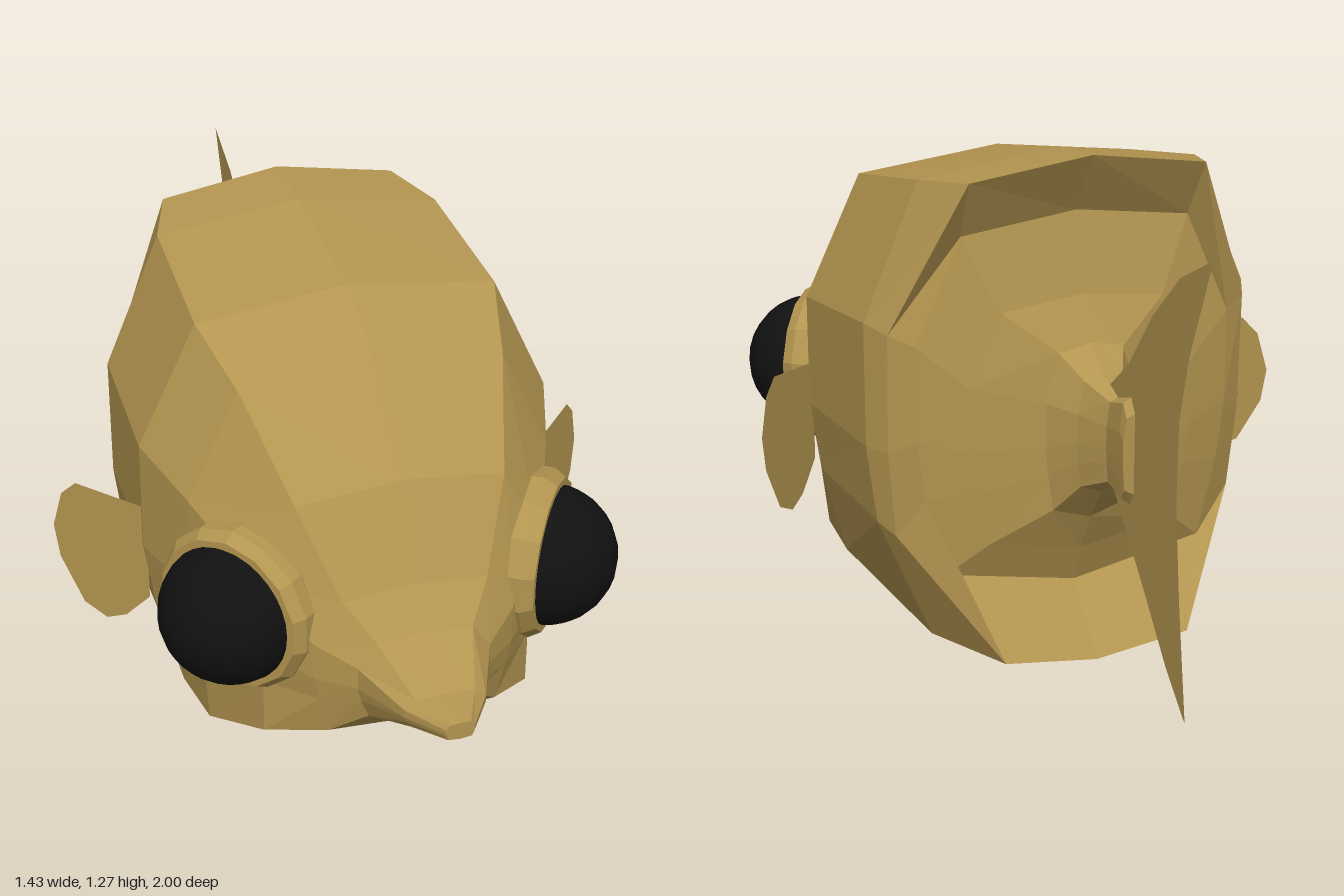
import * as THREE from 'three';

const skin = new THREE.MeshStandardMaterial({ color: 0xb39550, flatShading: true, side: THREE.DoubleSide });
const black = new THREE.MeshStandardMaterial({ color: 0x111111 });

// Half cross-section from ridge to belly: fraction of half width, fraction of height
const PROFILE = [[0, 1], [0.72, 0.96], [1, 0.69], [1, 0.44], [0.95, 0.28], [0.83, 0.07], [0, 0]];

function section(z, top, bottom, w, belly) {
  return PROFILE.map(([u, v], i) => {
    const [a, b] = belly && i === 5 ? belly : [u, v];
    return [a * w, bottom + b * (top - bottom), z];
  });
}

// Mirrors each half section into a closed ring, joins the rings and caps both ends
function loft(sections) {
  const rings = sections.map(h => [...h, ...h.slice(1, -1).reverse().map(([x, y, z]) => [-x, y, z])]);
  const n = rings[0].length, last = (rings.length - 1) * n;
  const pos = rings.flat(2), index = [];
  for (let i = 0; i < rings.length - 1; i++) {
    for (let j = 0; j < n; j++) {
      const k = (j + 1) % n, a = i * n + j, b = i * n + k;
      index.push(a, b, a + n, b, b + n, a + n);
    }
  }
  for (let j = 1; j < n - 1; j++) {
    index.push(0, j + 1, j);
    index.push(last, last + j, last + j + 1);
  }
  const geo = new THREE.BufferGeometry();
  geo.setAttribute('position', new THREE.Float32BufferAttribute(pos, 3));
  geo.setIndex(index);
  geo.computeVertexNormals();
  return geo;
}

// Flat fin outlined in (z, y); x follows from z by a rule
function finGeometry(outline, xAt) {
  const geo = new THREE.ShapeGeometry(new THREE.Shape(outline.map(p => new THREE.Vector2(...p))));
  const p = geo.attributes.position;
  for (let i = 0; i < p.count; i++) {
    const z = p.getX(i);
    p.setXYZ(i, xAt(z), p.getY(i), z);
  }
  geo.computeVertexNormals();
  return geo;
}

export function createModel() {
  const model = new THREE.Group();
  const add = (name, geo, mat, parent = model) => {
    const mesh = new THREE.Mesh(geo, mat);
    mesh.name = name;
    parent.add(mesh);
    return mesh;
  };

  // Body from snout to tail stalk, with overhanging lips around the hollow back
  add('body', loft([
    section(0.995, 0.475, 0.43, 0.035),
    section(0.9, 0.49, 0.41, 0.1),
    section(0.76, 0.57, 0.345, 0.165),
    section(0.69, 0.66, 0.275, 0.25, [0.85, 0.03]),
    section(0.58, 0.88, 0.19, 0.36, [0.95, 0.07]),
    section(0.37, 1.1, 0.09, 0.46, [0.92, 0.06]),
    section(0.18, 1.2, 0.06, 0.53),
    section(-0.21, 1.265, 0.015, 0.515, [0.68, 0.02]),
    [[0, 1.28, -0.4], [0.31, 1.235, -0.385], [0.48, 0.86, -0.28], [0.48, 0.56, -0.27],
      [0.46, 0.34, -0.26], [0.25, 0.04, -0.455], [0, 0.005, -0.45]],
    section(-0.31, 1.13, 0.17, 0.42),
    section(-0.35, 0.93, 0.27, 0.3),
    section(-0.4, 0.82, 0.37, 0.12),
    section(-0.47, 0.76, 0.46, 0.07),
    section(-0.55, 0.725, 0.5, 0.03),
    section(-0.62, 0.745, 0.48, 0.03),
    section(-0.64, 0.71, 0.51, 0.03),
  ]), skin);

  // Forked tail fin
  add('tailFin', finGeometry([[-0.5, 0.74], [-0.6, 0.82], [-0.72, 0.97], [-0.85, 1.09], [-1, 1.165],
    [-0.9, 0.92], [-0.86, 0.76], [-0.855, 0.55], [-0.88, 0.32], [-0.92, 0.04], [-0.82, 0.14],
    [-0.7, 0.29], [-0.54, 0.48]], () => 0), skin);

  const finOutline = [[0.18, 0.67], [0.04, 0.69], [0.01, 0.65], [-0.01, 0.55], [0, 0.46],
    [0.045, 0.34], [0.09, 0.31], [0.13, 0.335], [0.18, 0.41]];
  const socketProfile = [[0.2, -0.09], [0.213, -0.03], [0.213, 0.005], [0.195, 0.035], [0.165, 0.035], [0.16, -0.03]]
    .map(p => new THREE.Vector2(...p));

  for (const [side, s] of [['left', 1], ['right', -1]]) {
    // Side fin, angled outward and back
    add(side + 'SideFin', finGeometry(finOutline, z => s * (0.525 + (0.175 - z) * 1.04)), skin);

    // Eye in a raised socket ring facing out and forward
    const eye = new THREE.Group();
    eye.name = side + 'Eye';
    eye.position.set(s * 0.39, 0.568, 0.52);
    eye.rotation.y = s * Math.atan2(0.79, 0.61);
    add('socket', new THREE.LatheGeometry(socketProfile, 14).rotateX(Math.PI / 2), skin, eye);
    add('eyeball', new THREE.SphereGeometry(0.176, 24, 16), black, eye).position.z = 0.017;
    model.add(eye);
  }
  return model;
}
